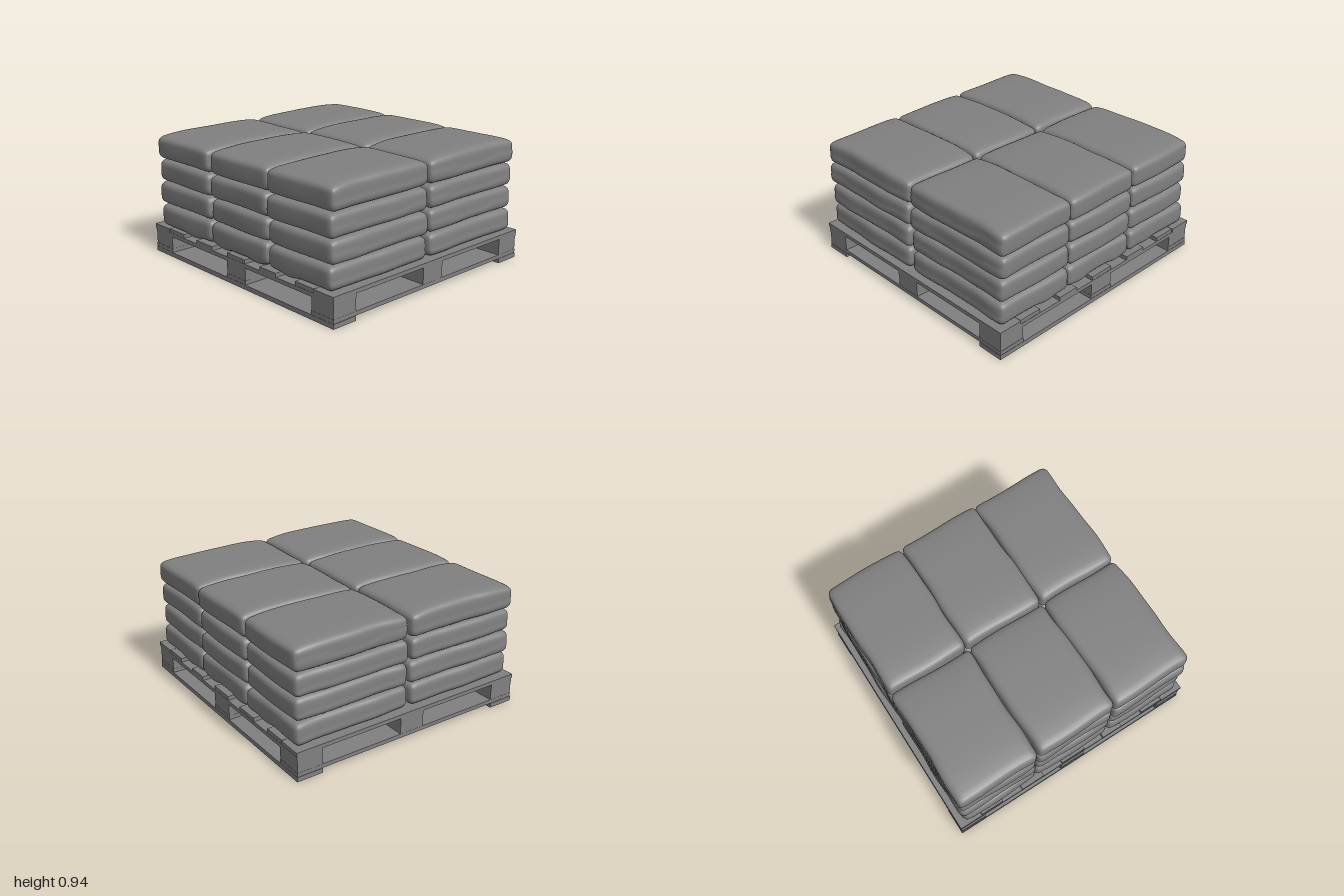
import * as THREE from 'three';
import { mergeVertices } from 'three/addons/utils/BufferGeometryUtils.js';

const grey = new THREE.MeshStandardMaterial({ color: 0x808080 });

function seeded(seed) {
  let s = seed;
  return () => ((s = (s * 16807) % 2147483647) / 2147483647);
}

function box(parent, name, x0, x1, y0, y1, z0, z1) {
  const mesh = new THREE.Mesh(new THREE.BoxGeometry(x1 - x0, y1 - y0, z1 - z0), grey);
  mesh.position.set((x0 + x1) / 2, (y0 + y1) / 2, (z0 + z1) / 2);
  mesh.name = name;
  parent.add(mesh);
}

const GAPS = [-0.545, -0.185, 0.185, 0.535]; // centres of the gaps between deck boards

function createPallet() {
  const pallet = new THREE.Group();
  pallet.name = 'pallet';
  for (const z of [-0.85, 0.85]) box(pallet, 'bottomBoard', -1, 1, 0, 0.035, z - 0.1, z + 0.1);
  for (const x of [-0.892, 0, 0.892]) {
    box(pallet, 'crossBoard', x - 0.105, x + 0.105, 0.035, 0.065, -0.948, 0.948);
    for (const z of [-0.847, 0, 0.847]) {
      box(pallet, 'block', x - 0.104, x + 0.104, 0.065, 0.16, z - 0.099, z + 0.099);
    }
  }
  for (const z of [-0.848, 0, 0.848]) box(pallet, 'stringer', -0.998, 0.998, 0.16, 0.19, z - 0.1, z + 0.1);
  const deck = [[-1, -0.815], [-0.812, -0.63], [-0.46, -0.27], [-0.1, 0.1], [0.27, 0.44], [0.63, 0.812], [0.815, 1]];
  deck.forEach(([x0, x1], i) => {
    const end = i % 2 ? 0.946 : 0.952; // alternate boards are cut slightly shorter
    box(pallet, 'deckBoard', x0, x1, 0.19, 0.22, -end, end);
  });
  return pallet;
}

// A filled sack: a dense box rounded at its edges, then pillowed and wrinkled
function createSack(w, h, d, cx, cy, cz, rand, isBottom, isTop) {
  const geo = new THREE.BoxGeometry(2, 2, 2, 20, 14, 22);
  geo.deleteAttribute('uv');
  geo.deleteAttribute('normal');
  const merged = mergeVertices(geo, 1e-4);
  const pos = merged.attributes.position;
  const half = new THREE.Vector3(w / 2, h / 2, d / 2);
  const r = 0.044;
  const inner = half.clone().subScalar(r);
  const p = new THREE.Vector3(), c = new THREE.Vector3();
  const dense = (t) => Math.sign(t) * (1 - (1 - Math.abs(t)) ** 1.5); // more rows near edges
  const [a, b, e, f] = [rand(), rand(), rand(), rand()].map((v) => v * Math.PI * 2);
  const turn = (rand() - 0.5) * 0.02;
  const dx = (rand() - 0.5) * 0.01, dz = (rand() - 0.5) * 0.012;

  for (let i = 0; i < pos.count; i++) {
    p.fromBufferAttribute(pos, i);
    p.set(dense(p.x), dense(p.y), dense(p.z)).multiply(half);
    c.set(
      THREE.MathUtils.clamp(p.x, -inner.x, inner.x),
      THREE.MathUtils.clamp(p.y, -inner.y, inner.y),
      THREE.MathUtils.clamp(p.z, -inner.z, inner.z)
    );
    p.sub(c).normalize().multiplyScalar(r).add(c);
    const u = p.x / half.x, v = p.y / half.y, t = p.z / half.z;
    // slack long sides and ends, fullest at mid height
    p.x += u * (0.005 * Math.sin(t * 4 + a) + 0.002 * Math.sin(t * 9 + b) - 0.002 - 0.006 * v * v);
    p.z += t * (0.005 * Math.sin(u * 3 + e) - 0.003 - 0.005 * v * v);
    // folded seam along the long sides
    const seam = -0.25 + 0.22 * t * t * Math.cos(f);
    p.x += u ** 9 * (v < seam ? 0.003 : -0.002);
    // full middle, thinner towards the ends
    if (v > 0) p.y -= v * (isTop ? 0.022 : 0.006) * (t ** 4 + 0.4 * u ** 6);
    // rotate and place
    const x = p.x + turn * p.z + cx + dx;
    let y = p.y + cy;
    // the lowest sacks sag between the deck boards
    if (isBottom && v < 0) {
      for (const g of GAPS) {
        const k = Math.abs(x - g) / 0.085;
        if (k < 1) y += v * 0.018 * (1 - k * k);
      }
    }
    pos.setXYZ(i, x, y, p.z - turn * p.x + cz + dz);
  }
  merged.computeVertexNormals();
  const mesh = new THREE.Mesh(merged, grey);
  mesh.name = 'sack';
  return mesh;
}

export function createModel() {
  const model = new THREE.Group();
  model.name = 'loadedPallet';
  model.add(createPallet());

  // Four layers of three by two sacks
  const rand = seeded(4711);
  const levels = [0.22, 0.395, 0.57, 0.745, 0.937];
  for (let layer = 0; layer < 4; layer++) {
    const group = new THREE.Group();
    group.name = 'sackLayer';
    const y0 = levels[layer], y1 = levels[layer + 1];
    for (const x of [-0.638, 0, 0.638]) {
      for (const z of [-0.468, 0.468]) {
        group.add(createSack(0.644, y1 - y0, 0.926, x, (y0 + y1) / 2, z, rand, layer === 0, layer === 3));
      }
    }
    model.add(group);
  }
  return model;
}
